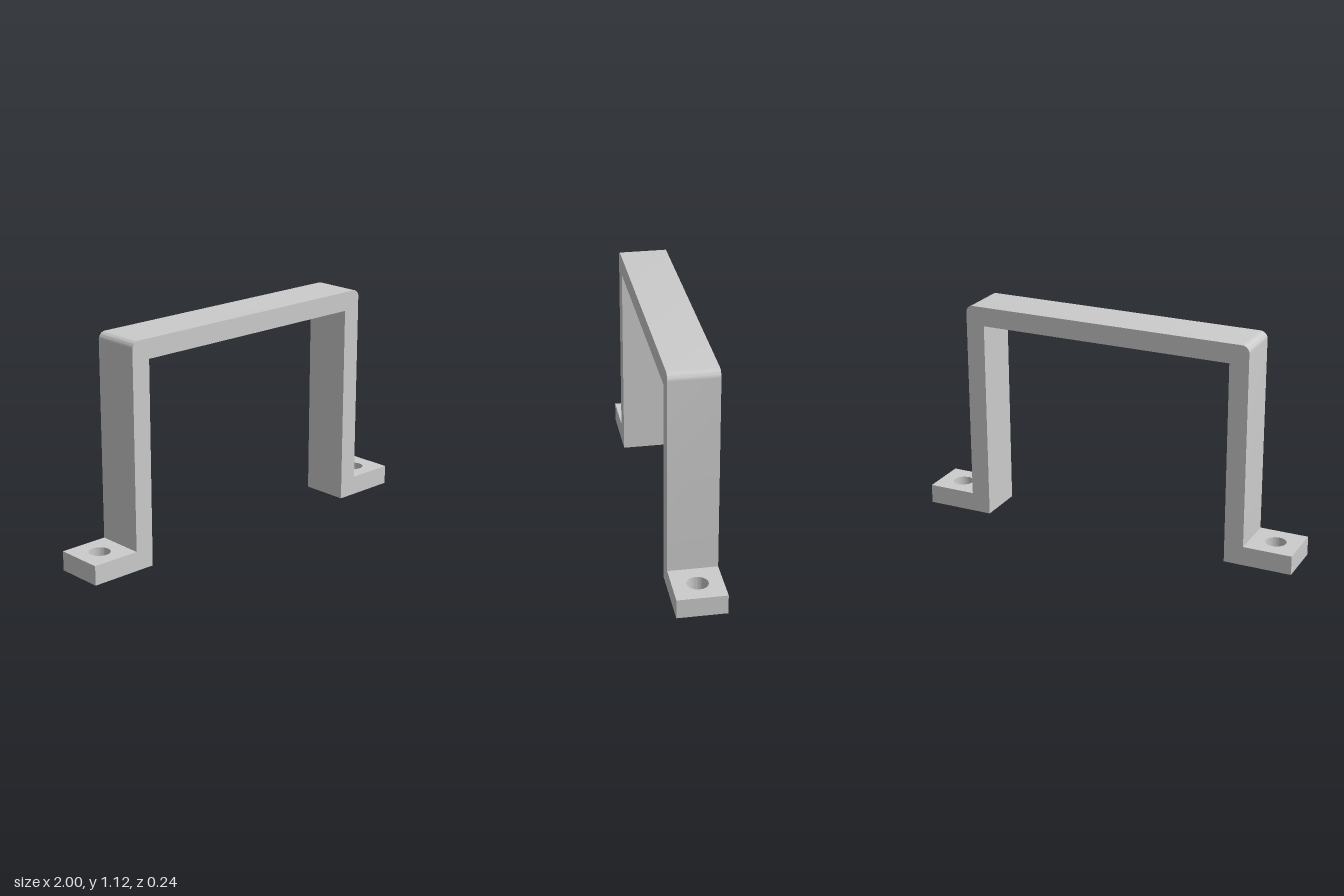
import * as THREE from 'three';
import { toCreasedNormals } from 'three/addons/utils/BufferGeometryUtils.js';

const T = 0.0976;      // strap thickness
const D = 0.244;       // strap depth
const H = 1.122;       // overall height
const OUT = 0.7515;    // outer face of the legs
const IN = OUT - T;    // inner face of the legs
const R = 0.037;       // rounded top corners

// Drop the hidden triangles where a foot meets a leg, then smooth the curves
function finish(geometry) {
  const p = geometry.attributes.position;
  const onSeam = (i) => Math.abs(Math.abs(p.getX(i)) - OUT) < 1e-4 && p.getY(i) < T + 1e-4;
  const kept = [];
  for (let i = 0; i < p.count; i += 3) {
    if (onSeam(i) && onSeam(i + 1) && onSeam(i + 2)) continue;
    for (let k = i; k < i + 3; k++) kept.push(p.getX(k), p.getY(k), p.getZ(k));
  }
  const result = new THREE.BufferGeometry();
  result.setAttribute('position', new THREE.Float32BufferAttribute(kept, 3));
  return toCreasedNormals(result, Math.PI / 6);
}

// Two legs and the top bar as one bent strap
function archGeometry() {
  const s = new THREE.Shape();
  s.moveTo(IN, 0);
  s.lineTo(OUT, 0);
  s.lineTo(OUT, T);
  s.lineTo(OUT, H - R);
  s.absarc(OUT - R, H - R, R, 0, Math.PI / 2, false);
  s.lineTo(-OUT + R, H);
  s.absarc(-OUT + R, H - R, R, Math.PI / 2, Math.PI, false);
  s.lineTo(-OUT, T);
  s.lineTo(-OUT, 0);
  s.lineTo(-IN, 0);
  s.lineTo(-IN, H - T);
  s.lineTo(IN, H - T);
  s.closePath();
  const g = new THREE.ExtrudeGeometry(s, { depth: D, bevelEnabled: false, curveSegments: 10 });
  return finish(g.translate(0, 0, -D / 2));
}

// Flat foot with a screw hole
function footGeometry() {
  const s = new THREE.Shape();
  s.moveTo(OUT, -D / 2);
  s.lineTo(1, -D / 2);
  s.lineTo(1, D / 2);
  s.lineTo(OUT, D / 2);
  s.closePath();
  const hole = new THREE.Path();
  hole.absarc(0.876, 0, 0.052, 0, Math.PI * 2, true);
  s.holes.push(hole);
  const g = new THREE.ExtrudeGeometry(s, { depth: T, bevelEnabled: false, curveSegments: 24 });
  return finish(g.rotateX(-Math.PI / 2));
}

export function createModel() {
  const group = new THREE.Group();
  group.name = 'bracket';
  const material = new THREE.MeshStandardMaterial({ color: 0xcccccc });

  const arch = new THREE.Mesh(archGeometry(), material);
  arch.name = 'arch';
  group.add(arch);

  const foot = footGeometry();
  for (const [name, angle] of [['leftFoot', 0], ['rightFoot', Math.PI]]) {
    const mesh = new THREE.Mesh(foot, material);
    mesh.name = name;
    mesh.rotation.y = angle;
    group.add(mesh);
  }
  return group;
}
